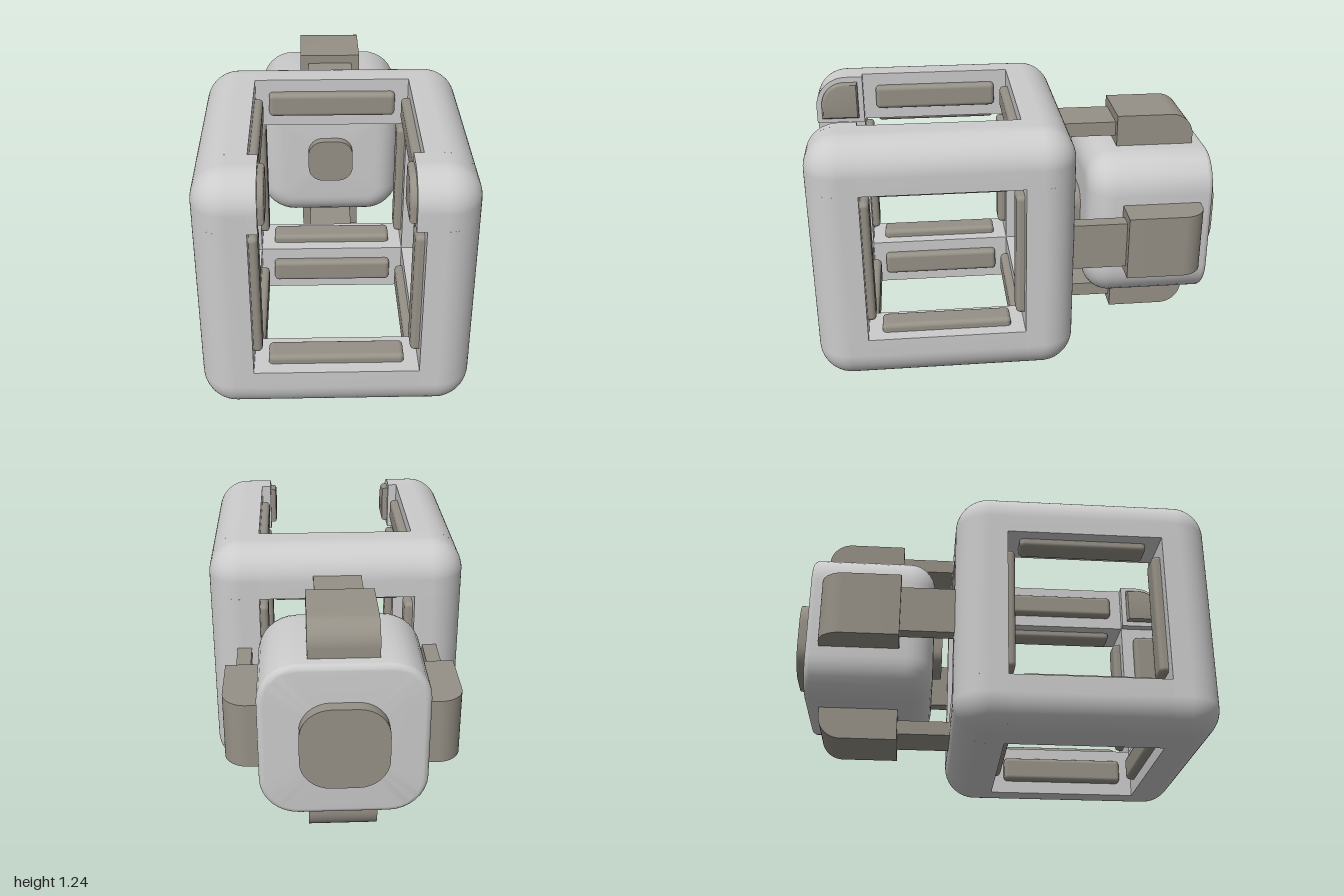
import * as THREE from 'three';
import { RoundedBoxGeometry } from 'three/addons/geometries/RoundedBoxGeometry.js';
import { toCreasedNormals } from 'three/addons/utils/BufferGeometryUtils.js';

const light = new THREE.MeshStandardMaterial({ color: 0xcccccc });
const dark = new THREE.MeshStandardMaterial({ color: 0x969187 });

const HALF = 0.62, HOLE = 0.375, BAR = HALF - HOLE, RADIUS = 0.16, GAP = 0.33;

function add(parent, name, geometry, material, x = 0, y = 0, z = 0) {
  const mesh = new THREE.Mesh(geometry, material);
  mesh.name = name;
  mesh.position.set(x, y, z);
  parent.add(mesh);
  return mesh;
}

// rectangle from the origin with its far corner rounded
function section(w, h, r) {
  const s = new THREE.Shape();
  s.moveTo(0, 0);
  s.lineTo(w, 0);
  s.lineTo(w, h - r);
  s.absarc(w - r, h - r, r, 0, Math.PI / 2);
  s.lineTo(0, h);
  s.closePath();
  return s;
}

// outline points of a square with rounded corners
function roundedSquare(half, r, steps = 8) {
  const pts = [];
  for (let c = 0; c < 4; c++) {
    const mid = Math.PI / 4 + c * Math.PI / 2;
    const cx = Math.sign(Math.cos(mid)) * (half - r), cy = Math.sign(Math.sin(mid)) * (half - r);
    for (let i = 0; i <= steps; i++) {
      const a = c * Math.PI / 2 + i / steps * Math.PI / 2;
      pts.push(new THREE.Vector2(cx + r * Math.cos(a), cy + r * Math.sin(a)));
    }
  }
  return pts;
}

// extrusion centred along z
function extrude(shape, depth, bevel = 0) {
  const g = new THREE.ExtrudeGeometry(shape, {
    depth: depth - 2 * bevel, curveSegments: 10, bevelEnabled: bevel > 0,
    bevelSize: bevel, bevelThickness: bevel, bevelOffset: -bevel, bevelSegments: 3,
  });
  g.translate(0, 0, bevel - depth / 2);
  return toCreasedNormals(g, 0.5);
}

// skin over rounded-square rings given as [z, half, corner radius], front to back
function loft(rings) {
  const pos = [], index = [];
  let n = 0;
  for (const [z, half, r] of rings) {
    const pts = roundedSquare(half, r);
    n = pts.length;
    pts.forEach(p => pos.push(p.x, p.y, z));
  }
  for (let k = 0; k < rings.length - 1; k++) {
    for (let i = 0; i < n; i++) {
      const a = k * n + i, b = k * n + (i + 1) % n;
      index.push(a, a + n, b, b, a + n, b + n);
    }
  }
  const g = new THREE.BufferGeometry();
  g.setAttribute('position', new THREE.Float32BufferAttribute(pos, 3));
  g.setIndex(index);
  return toCreasedNormals(g, 0.5);
}

// one outer corner block: the positive octant of a rounded cube
function cornerGeometry() {
  const g = new RoundedBoxGeometry(2 * BAR, 2 * BAR, 2 * BAR, 8, RADIUS);
  const p = g.attributes.position;
  for (let i = 0; i < p.count; i++) {
    p.setXYZ(i, Math.max(0, p.getX(i)), Math.max(0, p.getY(i)), Math.max(0, p.getZ(i)));
  }
  return g.translate(HOLE, HOLE, HOLE);
}

function createFrame() {
  const frame = new THREE.Group();
  frame.name = 'cubeFrame';

  // eight corners
  const corner = cornerGeometry();
  for (let k = 0; k < 8; k++) {
    const mesh = add(frame, 'frameCorner', corner, light);
    mesh.rotation.set(k < 4 ? 0 : Math.PI, k * Math.PI / 2, 0, 'YXZ');
  }

  const barSection = section(BAR, BAR, RADIUS);
  const bar = extrude(barSection, 2 * HOLE);
  const stub = extrude(barSection, HOLE - GAP);
  const pad = extrude(section(0.19, 0.19, 0.12), 0.06, 0.015);
  const stripX = new RoundedBoxGeometry(0.08, 0.12, 0.62, 3, 0.022);
  const stripY = new RoundedBoxGeometry(0.12, 0.08, 0.62, 3, 0.022);

  // four bars along each axis, with a strip on both inner faces
  const turns = [[0, 0], [0, Math.PI / 2], [Math.PI / 2, 0]];
  turns.forEach(([rx, ry], axis) => {
    const set = new THREE.Group();
    set.name = ['depthBars', 'crossBars', 'uprightBars'][axis];
    set.rotation.set(rx, ry, 0);
    frame.add(set);
    for (let k = 0; k < 4; k++) {
      const unit = new THREE.Group();
      unit.name = 'frameBar';
      unit.rotation.z = k * Math.PI / 2;
      set.add(unit);
      if (axis === 1 && k === 1) {
        // the upper front bar is open: two short stubs with end pads
        unit.name = 'openBar';
        for (const s of [-1, 1]) {
          add(unit, 'barStub', stub, light, HOLE, HOLE, s * (HOLE + GAP) / 2);
          add(unit, 'endPad', pad, dark, HOLE + 0.027, HOLE + 0.027, s * GAP);
        }
        continue;
      }
      add(unit, 'bar', bar, light, HOLE, HOLE, 0);
      add(unit, 'innerStrip', stripX, dark, HOLE, HOLE + BAR / 2, 0);
      add(unit, 'innerStrip', stripY, dark, HOLE + BAR / 2, HOLE, 0);
    }
  });
  frame.position.set(0, HALF, 0.38);
  return frame;
}

function createHead() {
  const head = new THREE.Group();
  head.name = 'rearHead';

  // body with a wide front rounding and a narrow back rounding
  const half = 0.38, r = 0.18, front = 0.13, back = 0.03, steps = 8;
  const rings = [[-0.33, 0, 0]];
  for (let i = 0; i <= steps; i++) {
    const a = i / steps * Math.PI / 2, d = front * (1 - Math.sin(a));
    rings.push([-0.33 - front * (1 - Math.cos(a)), half - d, r - d]);
  }
  for (let i = 0; i <= steps; i++) {
    const a = i / steps * Math.PI / 2, d = back * (1 - Math.cos(a));
    rings.push([-0.94 + back * (1 - Math.sin(a)), half - d, r - d]);
  }
  rings.push([-0.94, 0, 0]);
  add(head, 'headBody', loft(rings), light);

  // knobs on both ends
  add(head, 'frontKnob', extrude(new THREE.Shape(roundedSquare(0.12, 0.08)), 0.1), dark, 0, 0, -0.335);
  add(head, 'backKnob', extrude(new THREE.Shape(roundedSquare(0.2, 0.14)), 0.1), dark, 0, 0, -0.95);

  // four clamps joining the head to the frame
  const block = extrude(section(0.19, 0.38, 0.11), 0.315).rotateX(-Math.PI / 2);
  const arm = new THREE.BoxGeometry(0.07, 0.23, 0.32);
  for (let k = 0; k < 4; k++) {
    const clamp = new THREE.Group();
    clamp.name = 'clamp';
    clamp.rotation.z = k * Math.PI / 2;
    add(clamp, 'clampBlock', block, dark, 0.345, 0, -0.495);
    add(clamp, 'clampArm', arm, dark, 0.455, 0, -0.37);
    head.add(clamp);
  }
  head.position.y = HALF;
  return head;
}

export function createModel() {
  const model = new THREE.Group();
  model.name = 'cubeFrameWithHead';
  model.add(createFrame(), createHead());
  return model;
}
